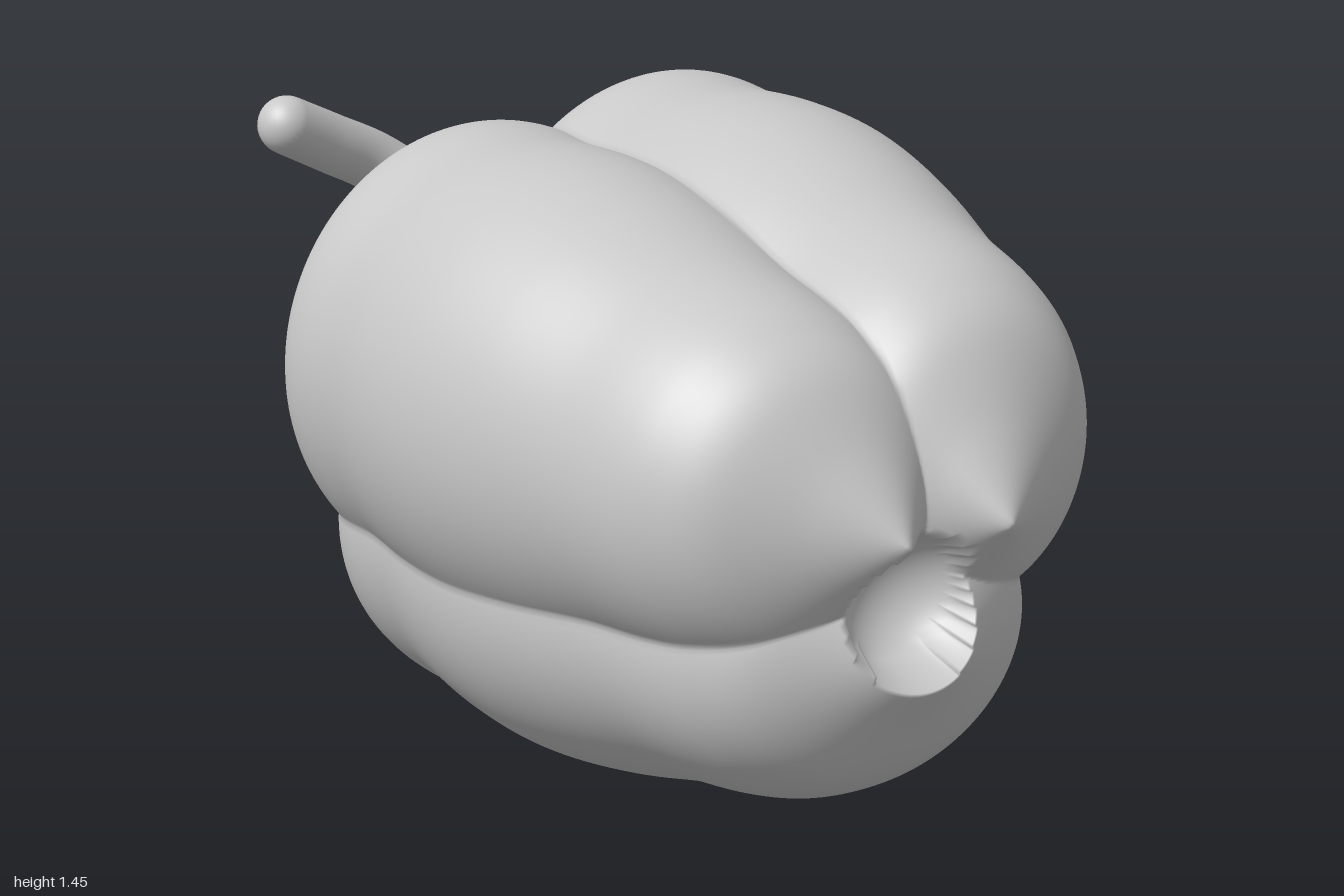
import * as THREE from 'three';

// Lobe girth along z: [z, scale], from blossom tip to stem shoulder
const PROFILE = [
  [-0.675, 0], [-0.655, 0.32], [-0.635, 0.49], [-0.597, 0.74], [-0.565, 0.88], [-0.53, 0.955],
  [-0.46, 0.995], [-0.32, 0.985], [-0.14, 1], [0.03, 0.985], [0.22, 0.915], [0.43, 0.805],
  [0.6, 0.74], [0.7, 0.675], [0.8, 0.545], [0.9, 0.27], [1, 0],
];

// Each lobe: elliptical section that shrinks toward its tip line
const LOBES = [
  { cx: 0.24, cy: 0.93, rx: 0.485, ry: 0.52, tx: 0.12, ty: 0.83 },
  { cx: -0.24, cy: 0.87, rx: 0.49, ry: 0.52, tx: -0.12, ty: 0.83 },
  { cx: -0.02, cy: 0.5, rx: 0.595, ry: 0.5, tx: -0.03, ty: 0.58 },
];

// Spherical hollows at the blossom end and around the stem
const HOLLOWS = [
  { centre: new THREE.Vector3(-0.04, 0.665, 0.93), radius: 0.15 },
  { centre: new THREE.Vector3(-0.03, 0.84, -0.75), radius: 0.36 },
];

const ORIGIN = new THREE.Vector3(-0.035, 0.72, 0.2);

// Smooth interpolation through the profile points
function girth(z) {
  const P = PROFILE, n = P.length;
  if (z <= P[0][0] || z >= P[n - 1][0]) return 0;
  let i = 0;
  while (z > P[i + 1][0]) i++;
  const slope = (k) => {
    const a = P[Math.max(k - 1, 0)], b = P[Math.min(k + 1, n - 1)];
    return (b[1] - a[1]) / (b[0] - a[0]);
  };
  const h = P[i + 1][0] - P[i][0], t = (z - P[i][0]) / h, u = 1 - t;
  return P[i][1] * (1 + 2 * t) * u * u + h * slope(i) * t * u * u
    + P[i + 1][1] * t * t * (3 - 2 * t) - h * slope(i + 1) * t * t * u;
}

function insideLobes(p) {
  const s = girth(p.z);
  if (s <= 0) return false;
  return LOBES.some((l) => {
    const dx = (p.x - l.tx - (l.cx - l.tx) * s) / (l.rx * s);
    const dy = (p.y - l.ty - (l.cy - l.ty) * s) / (l.ry * s);
    return dx * dx + dy * dy < 1;
  });
}

// Distance from the core to the skin in a direction
function skinDistance(dir) {
  const p = new THREE.Vector3();
  let lo = 0, hi = 2;
  for (let i = 0; i < 26; i++) {
    const mid = (lo + hi) / 2;
    p.copy(ORIGIN).addScaledVector(dir, mid);
    if (insideLobes(p)) lo = mid; else hi = mid;
  }
  for (const { centre, radius } of HOLLOWS) {
    const m = centre.clone().sub(ORIGIN), b = m.dot(dir);
    const disc = b * b - m.lengthSq() + radius * radius;
    if (b > 0 && disc > 0) lo = Math.min(lo, b - Math.sqrt(disc));
  }
  return lo;
}

function bodyGeometry(rings, sides) {
  const pos = [], index = [];
  const add = (dir) => {
    const p = ORIGIN.clone().addScaledVector(dir, skinDistance(dir));
    pos.push(p.x, p.y, p.z);
  };
  add(new THREE.Vector3(0, 0, 1));
  for (let i = 1; i < rings; i++) {
    const a = (i / rings) * Math.PI;
    for (let j = 0; j < sides; j++) {
      const b = (j / sides) * Math.PI * 2;
      add(new THREE.Vector3(Math.sin(a) * Math.cos(b), Math.sin(a) * Math.sin(b), Math.cos(a)));
    }
  }
  add(new THREE.Vector3(0, 0, -1));
  const last = pos.length / 3 - 1;
  const at = (i, j) => 1 + (i - 1) * sides + (j % sides);
  for (let j = 0; j < sides; j++) {
    index.push(0, at(1, j), at(1, j + 1));
    for (let i = 1; i < rings - 1; i++) {
      index.push(at(i, j), at(i + 1, j), at(i + 1, j + 1), at(i, j), at(i + 1, j + 1), at(i, j + 1));
    }
    index.push(at(rings - 1, j), last, at(rings - 1, j + 1));
  }
  const geo = new THREE.BufferGeometry();
  geo.setAttribute('position', new THREE.Float32BufferAttribute(pos, 3));
  geo.setIndex(index);
  geo.computeVertexNormals();
  return geo;
}

// Curved stem, slightly thinner toward its free end
function stemGeometry(curve, segments, sides, r0, r1) {
  const geo = new THREE.TubeGeometry(curve, segments, r0, sides);
  const pos = geo.attributes.position, v = new THREE.Vector3();
  for (let i = 0; i <= segments; i++) {
    const c = curve.getPointAt(i / segments);
    const k = THREE.MathUtils.lerp(1, r1 / r0, i / segments);
    for (let j = 0; j <= sides; j++) {
      const n = i * (sides + 1) + j;
      v.fromBufferAttribute(pos, n).sub(c).multiplyScalar(k).add(c);
      pos.setXYZ(n, v.x, v.y, v.z);
    }
  }
  return geo;
}

export function createModel() {
  const group = new THREE.Group();
  group.name = 'bellPepper';
  const grey = new THREE.MeshStandardMaterial({ color: 0xc8c8c8 });
  grey.name = 'plain grey';

  const add = (name, geo) => {
    const mesh = new THREE.Mesh(geo, grey);
    mesh.name = name;
    group.add(mesh);
    return mesh;
  };

  // Three-lobed body
  add('body', bodyGeometry(220, 280));

  // Stem rising from the rear hollow
  const curve = new THREE.CatmullRomCurve3([
    [-0.04, 0.73, -0.38], [-0.035, 0.88, -0.65], [-0.065, 0.98, -0.78], [-0.14, 1.09, -0.875],
    [-0.27, 1.2, -0.925], [-0.4, 1.27, -0.91], [-0.515, 1.33, -0.885],
  ].map((p) => new THREE.Vector3(...p)));
  add('stem', stemGeometry(curve, 60, 32, 0.083, 0.067));
  add('stemTip', new THREE.SphereGeometry(0.067, 32, 20)).position.copy(curve.getPoint(1));

  return group;
}
